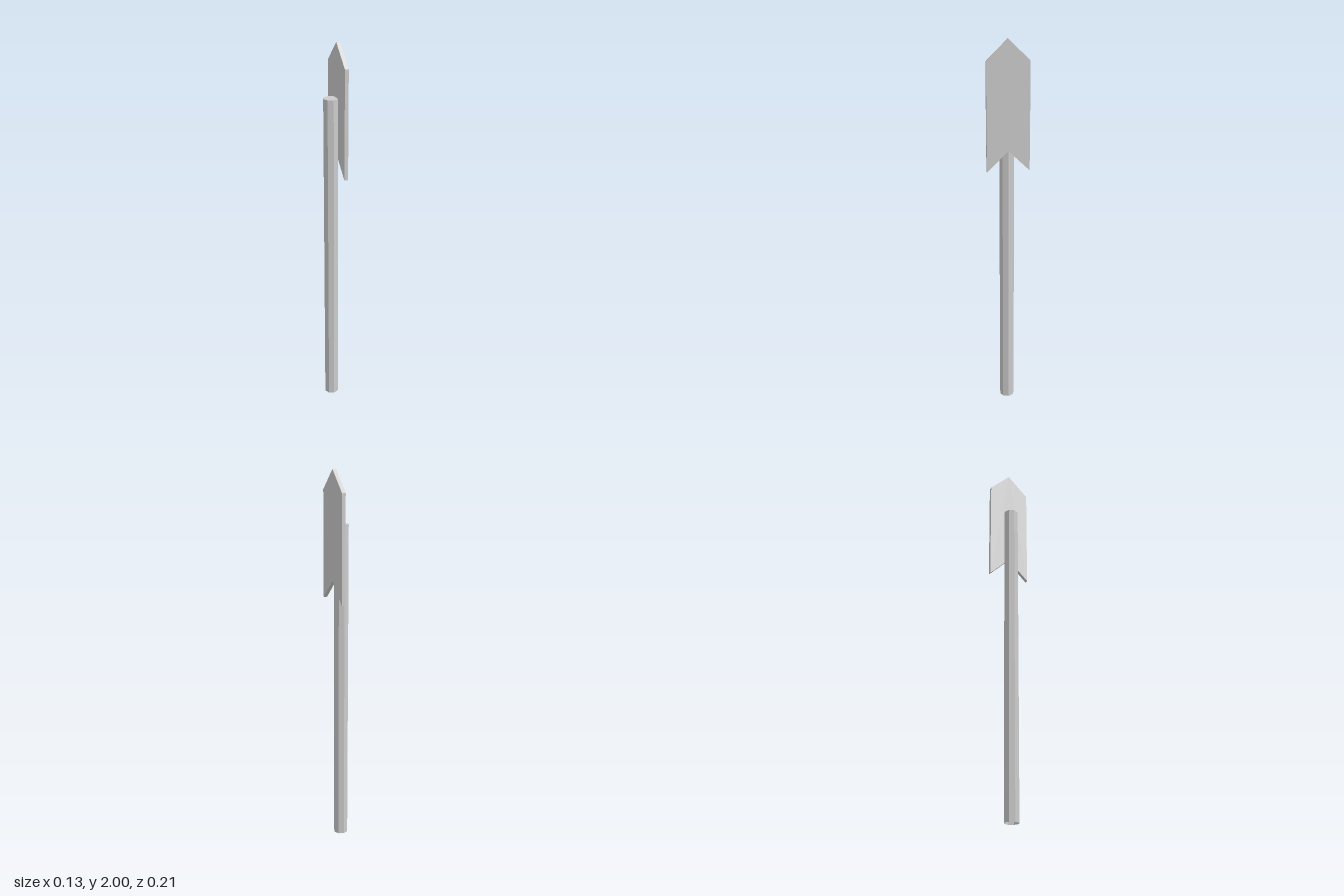
import * as THREE from 'three';

export function createModel() {
  const group = new THREE.Group();
  const material = new THREE.MeshStandardMaterial({ color: 0xcccccc, flatShading: true });
  const openMaterial = material.clone();
  openMaterial.side = THREE.DoubleSide;

  // Octagonal post: a tube open at the foot, closed by a cap on top
  const radius = 0.039, height = 1.73, turn = THREE.MathUtils.degToRad(28);
  const post = new THREE.Group();
  post.name = 'post';
  post.position.set(-0.0295, 0, 0.0158);
  const wall = new THREE.Mesh(
    new THREE.CylinderGeometry(radius, radius, height, 8, 1, true, turn), openMaterial);
  wall.name = 'postWall';
  wall.position.y = height / 2;
  const cap = new THREE.Mesh(new THREE.CircleGeometry(radius, 8, turn - Math.PI / 2), material);
  cap.name = 'postCap';
  cap.rotation.x = -Math.PI / 2;
  cap.position.y = height;
  post.add(wall, cap);

  // Arrow-shaped board: pointed top, notched bottom
  const half = 0.1107, thickness = 0.0197;
  const outline = new THREE.Shape([
    [0, 2], [-half, 1.893], [-half, 1.337], [0, 1.444], [half, 1.337], [half, 1.893],
  ].map(([x, y]) => new THREE.Vector2(x, y)));
  const boardGeometry = new THREE.ExtrudeGeometry(outline, { depth: thickness, bevelEnabled: false });
  boardGeometry.translate(0, 0, -thickness / 2);
  const board = new THREE.Mesh(boardGeometry, material);
  board.name = 'arrowBoard';
  board.rotation.y = THREE.MathUtils.degToRad(-63.4);
  board.position.set(0.0055, 0, -0.0015);

  group.add(post, board);
  return group;
}
